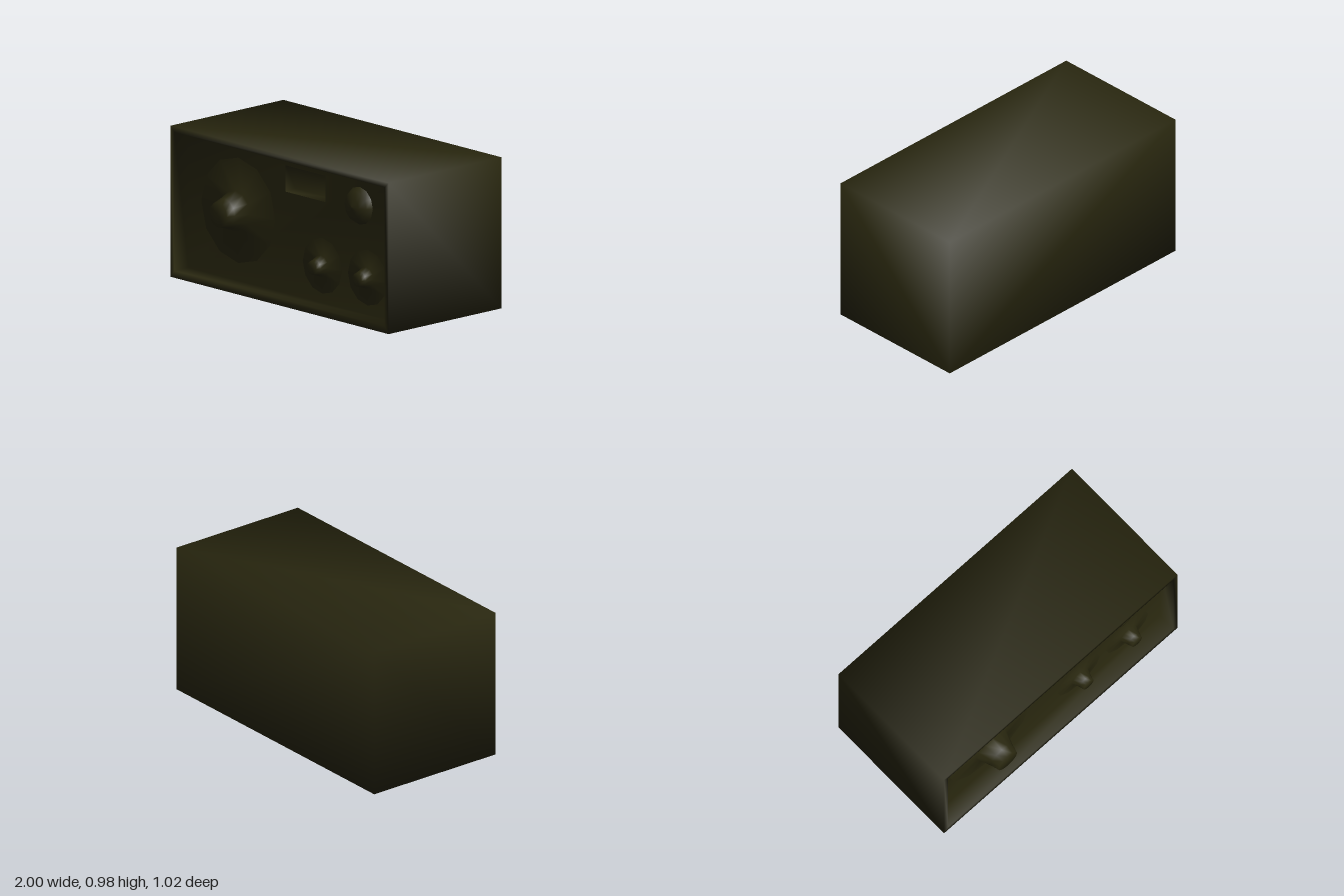
import * as THREE from 'three';
import { mergeVertices, mergeGeometries } from 'three/addons/utils/BufferGeometryUtils.js';

const PANEL_Z = 0.335;

// Walls joining a series of rectangles [x0, x1, y0, y1, z]
function loftRects(rects) {
  const pos = [], index = [];
  for (const [x0, x1, y0, y1, z] of rects) pos.push(x0, y0, z, x1, y0, z, x1, y1, z, x0, y1, z);
  for (let r = 0; r < rects.length - 1; r++) {
    for (let i = 0; i < 4; i++) {
      const a = r * 4 + i, b = r * 4 + (i + 1) % 4;
      index.push(a, b, b + 4, a, b + 4, a + 4);
    }
  }
  const geo = new THREE.BufferGeometry();
  geo.setAttribute('position', new THREE.Float32BufferAttribute(pos, 3));
  geo.setIndex(index);
  return geo;
}

function rectPoints(x0, x1, y0, y1) {
  return [[x0, y0], [x1, y0], [x1, y1], [x0, y1]].map(([x, y]) => new THREE.Vector2(x, y));
}

// Flat filled rectangle, optionally pierced
function plate(x0, x1, y0, y1, z, holes = []) {
  const shape = new THREE.Shape(rectPoints(x0, x1, y0, y1));
  for (const h of holes) shape.holes.push(new THREE.Path(h));
  const geo = new THREE.ShapeGeometry(shape).translate(0, 0, z);
  geo.deleteAttribute('normal');
  geo.deleteAttribute('uv');
  return geo;
}

// Weld pieces so the shading runs smoothly across the edges
function weld(parts) {
  const geo = mergeVertices(mergeGeometries(parts), 1e-4);
  geo.computeVertexNormals();
  return geo;
}

export function createModel() {
  const group = new THREE.Group();
  const olive = new THREE.MeshStandardMaterial({ color: 0x29270f });
  olive.name = 'dark olive';

  const add = (name, geo) => {
    const mesh = new THREE.Mesh(geo, olive);
    mesh.name = name;
    group.add(mesh);
    return mesh;
  };

  // Cabinet: outer walls, rim, recess walls, back and front panel
  const inner = [-0.965, 0.965, 0.045, 0.94];
  const port = [-0.075, 0.295, 0.7, 0.87];
  const back = plate(-1, 1, 0, 0.975, 0);
  back.rotateY(Math.PI).translate(0, 0, -0.51);
  add('cabinet', weld([
    loftRects([
      [-1, 1, 0, 0.975, -0.51],
      [-1, 1, 0, 0.975, 0.455],
      [...inner, 0.455],
      [...inner, PANEL_Z],
    ]),
    back,
    plate(...inner, PANEL_Z, [rectPoints(...port)]),
  ]));

  // Tapered port set into the panel
  const portFloor = [-0.05, 0.27, 0.715, 0.855];
  add('port', weld([
    loftRects([[...port, PANEL_Z], [...portFloor, PANEL_Z - 0.06]]),
    plate(...portFloor, PANEL_Z - 0.06),
  ]));

  // Round units turned from a profile of [radius, height]
  const turn = (profile, sides) => new THREE.LatheGeometry(
    profile.map(([r, h]) => new THREE.Vector2(r, h)), sides).rotateX(Math.PI / 2);

  // Cones with a raised centre
  const cone = turn([[0.34, 0.002], [0.13, 0.025], [0.095, 0.12], [0.08, 0.175], [0, 0.175]], 12);
  const cones = [
    ['largeCone', -0.505, 0.5, 1],
    ['smallConeRight', 0.265, 0.285, 0.53],
    ['smallConeLeft', 0.68, 0.285, 0.53],
  ];
  for (const [name, x, y, s] of cones) {
    const mesh = add(name, cone);
    mesh.position.set(x, y, PANEL_Z);
    mesh.scale.setScalar(s);
  }

  // Small dome
  const dome = add('dome', turn([[0.122, 0], [0.1, 0.035], [0.055, 0.06], [0, 0.07]], 12));
  dome.position.set(0.605, 0.735, PANEL_Z);

  return group;
}
